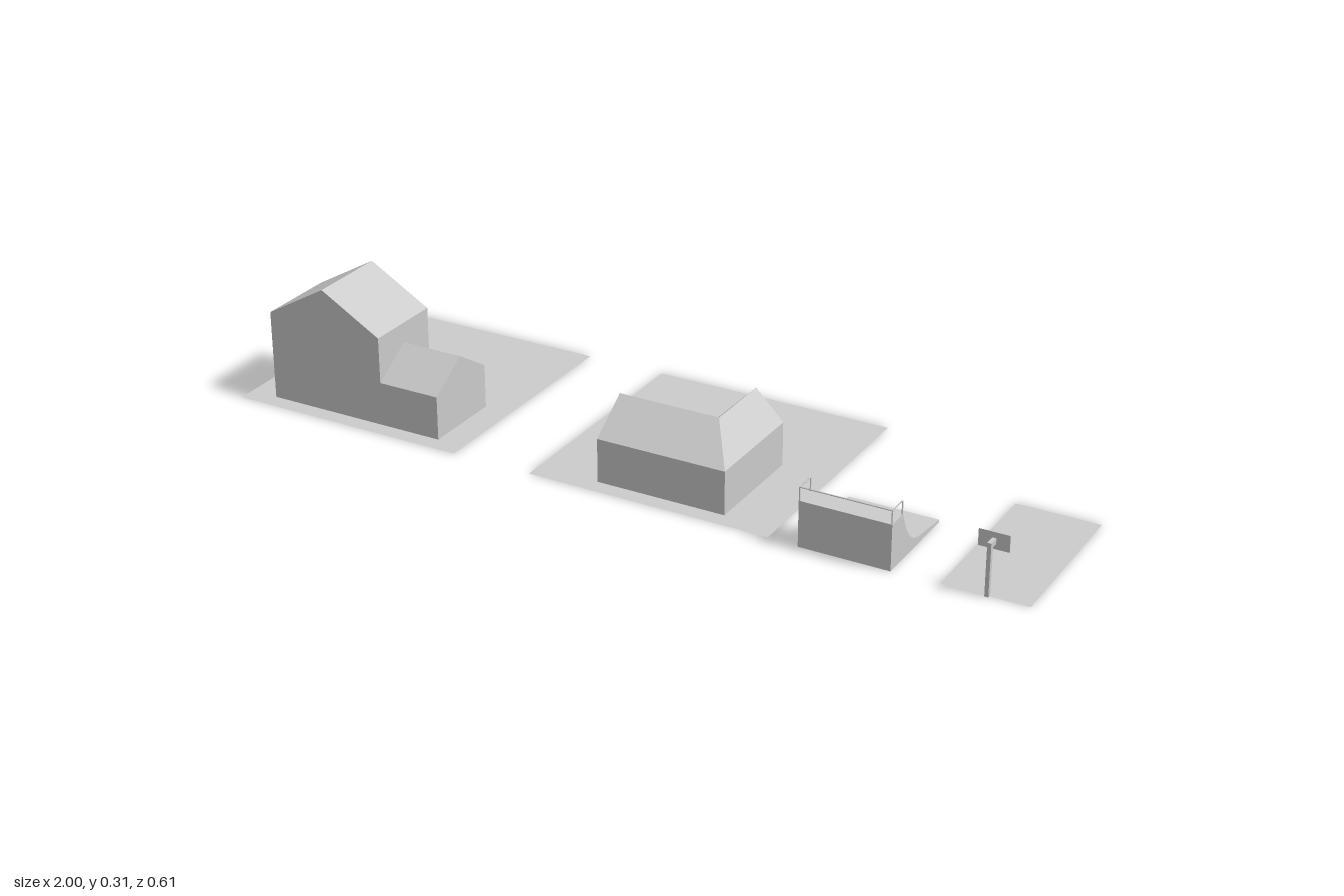
import * as THREE from 'three';

const material = new THREE.MeshStandardMaterial({ color: 0xcccccc, side: THREE.DoubleSide });

function addMesh(parent, name, geometry, x = 0, y = 0, z = 0) {
  const mesh = new THREE.Mesh(geometry, material);
  mesh.name = name;
  mesh.position.set(x, y, z);
  parent.add(mesh);
  return mesh;
}

function addGroup(parent, name) {
  const group = new THREE.Group();
  group.name = name;
  parent.add(group);
  return group;
}

// Flat convex panel, corners counter-clockwise seen from outside
function panel(parent, name, ...corners) {
  const geometry = new THREE.BufferGeometry();
  geometry.setAttribute('position', new THREE.Float32BufferAttribute(corners.flat(), 3));
  const index = [];
  for (let i = 1; i < corners.length - 1; i++) index.push(0, i, i + 1);
  geometry.setIndex(index);
  geometry.computeVertexNormals();
  return addMesh(parent, name, geometry);
}

// Thin round bar between two points
function bar(parent, name, from, to, radius) {
  const path = new THREE.LineCurve3(new THREE.Vector3(...from), new THREE.Vector3(...to));
  return addMesh(parent, name, new THREE.TubeGeometry(path, 1, radius, 6), 0, 0, 0);
}

function plot(parent, name, width, depth, x, z) {
  addMesh(parent, name, new THREE.PlaneGeometry(width, depth).rotateX(-Math.PI / 2), x, 0, z);
}

// Gabled house with a garage that is open at the back
function gabledHouse(parent) {
  const g = addGroup(parent, 'gabledHouse');
  const l = -0.93, m = -0.777, r = -0.625, e = -0.47;
  const b = 0.055, c = 0.154, f = 0.254;
  const wall = 0.219, ridge = 0.307, low = 0.107, top = 0.17;
  panel(g, 'frontGable', [l, 0, f], [r, 0, f], [r, wall, f], [m, ridge, f], [l, wall, f]);
  panel(g, 'backGable', [r, 0, b], [l, 0, b], [l, wall, b], [m, ridge, b], [r, wall, b]);
  panel(g, 'outerWall', [l, 0, b], [l, 0, f], [l, wall, f], [l, wall, b]);
  panel(g, 'roofRight', [l, wall, b], [l, wall, f], [m, ridge, f], [m, ridge, b]);
  panel(g, 'roofLeft', [r, wall, f], [r, wall, b], [m, ridge, b], [m, ridge, f]);
  // Wall above the garage opening
  panel(g, 'innerWallFront', [r, low, f], [r, top, c], [r, wall, c], [r, wall, f]);
  panel(g, 'innerWallBack', [r, top, c], [r, low, b], [r, wall, b], [r, wall, c]);
  panel(g, 'garageFront', [r, 0, f], [e, 0, f], [e, low, f], [r, low, f]);
  panel(g, 'garageGable', [e, 0, f], [e, 0, b], [e, low, b], [e, top, c], [e, low, f]);
  panel(g, 'garageRoofFront', [r, low, f], [e, low, f], [e, top, c], [r, top, c]);
  panel(g, 'garageRoofBack', [e, low, b], [r, low, b], [r, top, c], [e, top, c]);
}

// L-shaped bungalow: hip at the outer corner, valley at the inner one
function cornerHouse(parent) {
  const g = addGroup(parent, 'cornerHouse');
  const l = -0.046, i = 0.135, m = 0.204, r = 0.273;
  const n = -0.02, b = 0.055, c = 0.154, f = 0.254;
  const wall = 0.106, ridge = 0.176;
  const outline = [[l, f], [r, f], [r, n], [i, n], [i, b], [l, b]];
  outline.forEach(([x, z], k) => {
    const [x2, z2] = outline[(k + 1) % outline.length];
    panel(g, 'wall', [x, 0, z], [x2, 0, z2], [x2, wall, z2], [x, wall, z]);
  });
  panel(g, 'sideGable', [l, wall, b], [l, wall, f], [l, ridge, c]);
  panel(g, 'backGable', [r, wall, n], [i, wall, n], [m, ridge, n]);
  panel(g, 'roofFront', [l, wall, f], [r, wall, f], [m, ridge, c], [l, ridge, c]);
  panel(g, 'roofBack', [i, wall, b], [l, wall, b], [l, ridge, c], [m, ridge, c]);
  panel(g, 'wingRoofOuter', [r, wall, f], [r, wall, n], [m, ridge, n], [m, ridge, c]);
  panel(g, 'wingRoofInner', [i, wall, n], [i, wall, b], [m, ridge, c], [m, ridge, n]);
}

// Skate ramp with an open underside and a guard rail
function skateRamp(parent) {
  const g = addGroup(parent, 'skateRamp');
  const x0 = 0.474, x1 = 0.69, f = 0.301, lip = 0.248, deck = 0.11, toe = 0.055;
  const curve = new THREE.SplineCurve([
    [lip, deck], [0.235, 0.078], [0.22, 0.054], [0.2, 0.033], [0.18, 0.022], [0.157, 0.017], [toe, 0.006],
  ].map(([z, y]) => new THREE.Vector2(z, y))).getPoints(18);

  const position = [], index = [];
  curve.forEach((p, k) => {
    position.push(x0, p.y, p.x, x1, p.y, p.x);
    if (k) index.push(2 * k - 2, 2 * k - 1, 2 * k, 2 * k - 1, 2 * k + 1, 2 * k);
  });
  const surface = new THREE.BufferGeometry();
  surface.setAttribute('position', new THREE.Float32BufferAttribute(position, 3));
  surface.setIndex(index);
  surface.computeVertexNormals();
  addMesh(g, 'ridingSurface', surface);

  const side = new THREE.Shape([new THREE.Vector2(f, 0), new THREE.Vector2(f, deck), ...curve, new THREE.Vector2(toe, 0)]);
  for (const x of [x0, x1]) {
    const geometry = new THREE.ShapeGeometry(side).rotateY(-Math.PI / 2);
    if (x === x1) {
      // Outward winding for the opposite side
      const order = geometry.index.array;
      for (let k = 0; k < order.length; k += 3) [order[k], order[k + 1]] = [order[k + 1], order[k]];
      geometry.computeVertexNormals();
    }
    addMesh(g, 'sideWall', geometry, x, 0, 0);
  }
  panel(g, 'deck', [x0, deck, f], [x1, deck, f], [x1, deck, lip], [x0, deck, lip]);
  panel(g, 'frontWall', [x0, 0, f], [x1, 0, f], [x1, deck, f], [x0, deck, f]);
  panel(g, 'toeEdge', [x1, 0, toe], [x0, 0, toe], [x0, 0.006, toe], [x1, 0.006, toe]);

  const t = 0.0015, h = 0.142;
  for (const x of [x0 + t, x1 - t]) {
    for (const z of [f - t, lip + t]) bar(g, 'railPost', [x, deck, z], [x, h, z], t);
    bar(g, 'sideRail', [x, h, lip + t], [x, h, f - t], t);
  }
  bar(g, 'frontRail', [x0, h, f - t], [x1, h, f - t], t);
}

// Ball hoop at the front edge of its court, facing the back
function ballHoop(parent) {
  const g = addGroup(parent, 'ballHoop');
  const x = 0.905;
  addMesh(g, 'pole', new THREE.BoxGeometry(0.009, 0.125, 0.01), x, 0.0625, 0.296);
  addMesh(g, 'arm', new THREE.BoxGeometry(0.009, 0.013, 0.016), x, 0.1185, 0.283);
  addMesh(g, 'backboard', new THREE.PlaneGeometry(0.07, 0.039), x, 0.119, 0.275);
  addMesh(g, 'bracket', new THREE.BoxGeometry(0.004, 0.002, 0.008), x, 0.112, 0.271);
  addMesh(g, 'rim', new THREE.TorusGeometry(0.007, 0.0008, 6, 16).rotateX(Math.PI / 2), x, 0.113, 0.261);
  addMesh(g, 'net', new THREE.CylinderGeometry(0.007, 0.004, 0.013, 12, 1, true), x, 0.1065, 0.261);
}

export function createModel() {
  const model = new THREE.Group();
  model.name = 'neighbourhood';
  plot(model, 'housePlot', 0.6, 0.6, -0.7, -0.005);
  plot(model, 'cornerPlot', 0.6, 0.6, 0.1, -0.005);
  plot(model, 'court', 0.2, 0.4, 0.9, 0.095);
  gabledHouse(model);
  cornerHouse(model);
  skateRamp(model);
  ballHoop(model);
  return model;
}
